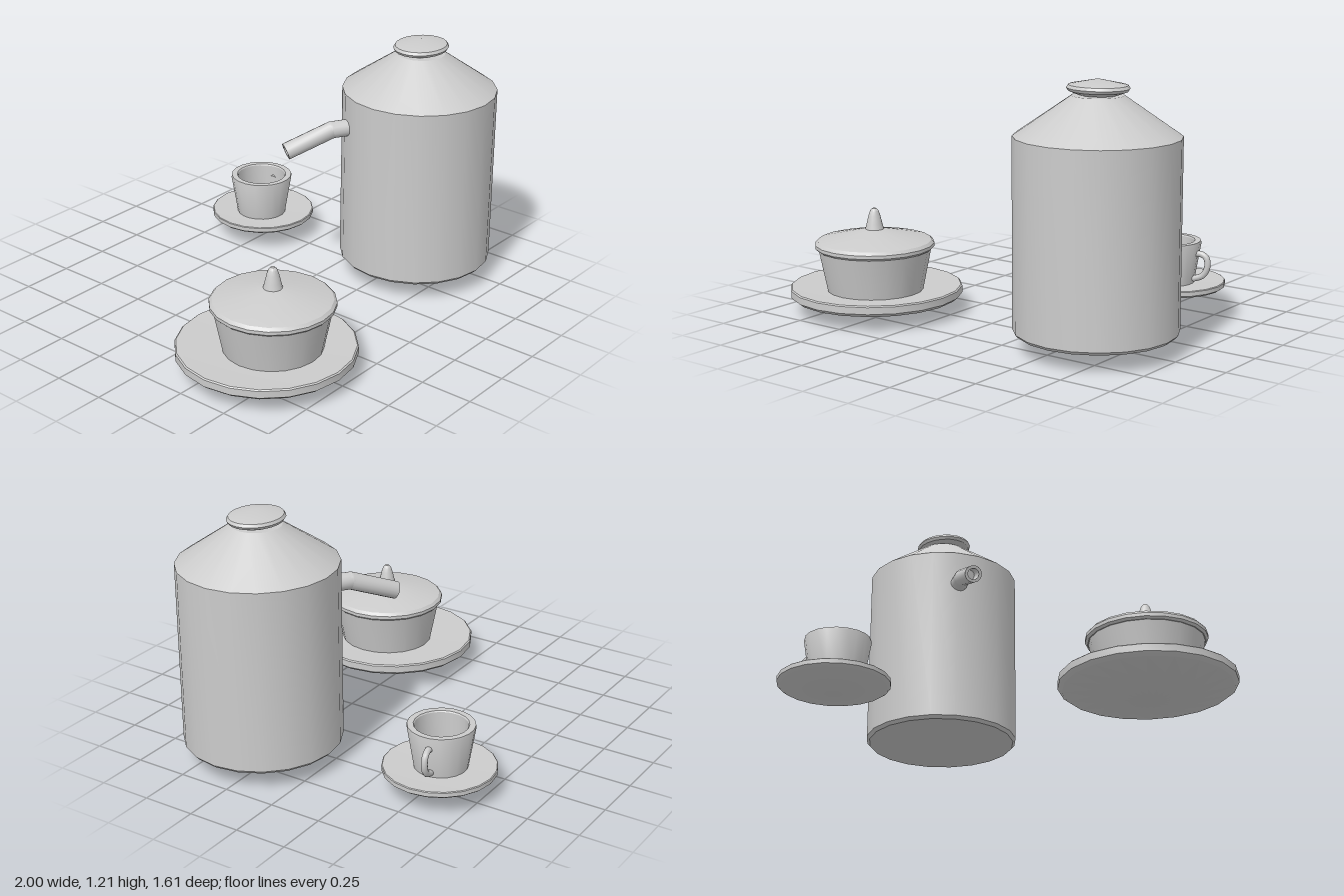
import * as THREE from 'three';
import { toCreasedNormals } from 'three/addons/utils/BufferGeometryUtils.js';

const grey = new THREE.MeshStandardMaterial({ color: 0xcccccc });

function add(parent, name, geometry, x = 0, y = 0, z = 0) {
  const mesh = new THREE.Mesh(geometry, grey);
  mesh.name = name;
  mesh.position.set(x, y, z);
  parent.add(mesh);
  return mesh;
}

// Turned part: profile of [radius, height] from the bottom axis to the top axis
function turned(profile, sides = 20) {
  const points = profile.map(([r, y]) => new THREE.Vector2(r, y));
  return toCreasedNormals(new THREE.LatheGeometry(points, sides), 0.5);
}

// Point a y-aligned mesh from a to b
function aim(mesh, a, b) {
  mesh.position.copy(a);
  mesh.quaternion.setFromUnitVectors(new THREE.Vector3(0, 1, 0), b.clone().sub(a).normalize());
}

// Shallow dish with a pointed underside
function saucer(r, base, rimLow, rimTop) {
  const h = rimTop - rimLow;
  return turned([
    [0, base], [r * 0.95, rimLow], [r, rimLow + h * 0.3], [r, rimTop - h * 0.1],
    [r * 0.985, rimTop], [r * 0.95, rimTop], [0, rimTop - r * 0.085],
  ]);
}

function createPot() {
  const pot = new THREE.Group();
  pot.name = 'pot';
  pot.position.set(0.63, 0, 0.315);
  add(pot, 'potBody', turned([
    [0, 0.08], [0.355, 0.085], [0.369, 0.1], [0.369, 0.957], [0.115, 1.133], [0, 1.133],
  ]));

  // Oval lid
  const lid = add(pot, 'potLid', turned([
    [0, 1.125], [0.09, 1.135], [0.135, 1.152], [0.144, 1.165], [0.135, 1.178], [0, 1.205],
  ]));
  lid.scale.z = 0.87;

  // Spout: short level stub, then a hollow end sloping down
  const along = (s, y) => new THREE.Vector3(-0.832 * s, y, -0.555 * s);
  const root = along(0.3, 0.795), bend = along(0.44, 0.79), tip = along(0.665, 0.705);
  const r = 0.041;
  const stubLength = root.distanceTo(bend), length = bend.distanceTo(tip);
  const stub = add(pot, 'spoutStub', turned([[0, 0], [r, 0], [r, stubLength], [0, stubLength]], 16));
  aim(stub, root, bend);
  add(pot, 'spoutBend', new THREE.SphereGeometry(r, 16, 12), bend.x, bend.y, bend.z);
  const end = add(pot, 'spoutEnd', turned([
    [r, 0], [r, length], [r * 0.65, length], [r * 0.65, length - 0.1], [0, length - 0.1],
  ], 16));
  aim(end, bend, tip);
  return pot;
}

function createSugarBowl() {
  const set = new THREE.Group();
  set.name = 'sugarBowlSet';
  add(set, 'largeSaucer', saucer(0.41, 0, 0.072, 0.127), -0.59, 0, 0.39);

  const bowl = new THREE.Group();
  bowl.name = 'sugarBowl';
  bowl.position.set(-0.574, 0, 0.415);
  set.add(bowl);
  add(bowl, 'bowlBody', turned([[0, 0.1], [0.225, 0.1], [0.268, 0.315], [0, 0.315]]));
  add(bowl, 'bowlLid', turned([
    [0, 0.31], [0.272, 0.312], [0.283, 0.322], [0.283, 0.338], [0.27, 0.352], [0.04, 0.405], [0, 0.405],
  ]));
  add(bowl, 'lidKnob', turned([
    [0.046, 0.395], [0.037, 0.43], [0.028, 0.468], [0.02, 0.492], [0.01, 0.503], [0, 0.506],
  ], 16));
  return set;
}

function createTeacup() {
  const set = new THREE.Group();
  set.name = 'teacupSet';
  add(set, 'smallSaucer', saucer(0.26, 0.05, 0.094, 0.127), 0.48, 0, -0.545);

  const cup = new THREE.Group();
  cup.name = 'teacup';
  cup.position.set(0.467, 0, -0.543);
  cup.rotation.y = 0.17;
  set.add(cup);
  add(cup, 'cupBody', turned([
    [0, 0.11], [0.122, 0.11], [0.155, 0.31], [0.153, 0.32], [0.125, 0.32], [0.121, 0.314], [0.118, 0.14], [0, 0.14],
  ]));

  // Looped handle
  const path = new THREE.CatmullRomCurve3(
    [[0.118, 0.25], [0.155, 0.265], [0.19, 0.25], [0.198, 0.205], [0.175, 0.16], [0.125, 0.138]]
      .map(([x, y]) => new THREE.Vector3(x, y, 0)));
  add(cup, 'cupHandle', new THREE.TubeGeometry(path, 24, 0.015, 10));
  return set;
}

export function createModel() {
  const model = new THREE.Group();
  model.name = 'teaSet';
  model.add(createPot(), createSugarBowl(), createTeacup());
  return model;
}
